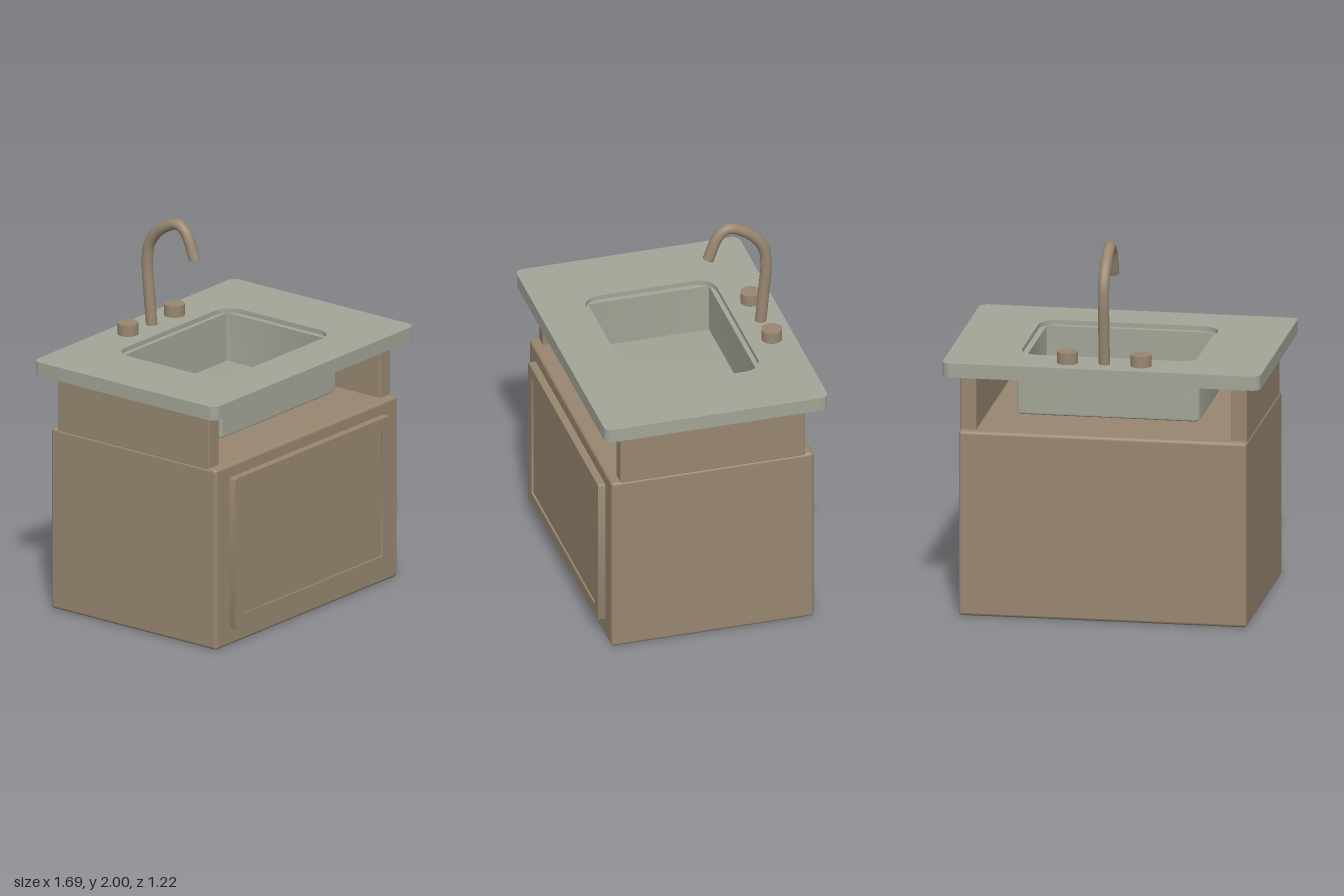
import * as THREE from 'three';
import { toCreasedNormals } from 'three/addons/utils/BufferGeometryUtils.js';
import { RoundedBoxGeometry } from 'three/addons/geometries/RoundedBoxGeometry.js';

// Rounded rectangle outline, half width w, half depth d, corner radius r
function roundRect(w, d, r, Type = THREE.Shape) {
  const s = new Type();
  s.moveTo(-w + r, -d);
  s.lineTo(w - r, -d);
  s.absarc(w - r, -d + r, r, -Math.PI / 2, 0);
  s.lineTo(w, d - r);
  s.absarc(w - r, d - r, r, 0, Math.PI / 2);
  s.lineTo(-w + r, d);
  s.absarc(-w + r, d - r, r, Math.PI / 2, Math.PI);
  s.lineTo(-w, -d + r);
  s.absarc(-w + r, -d + r, r, Math.PI, Math.PI * 1.5);
  return s;
}

// Extrude an outline along z with smooth corners
function extrude(shape, depth, bevel = {}) {
  const g = new THREE.ExtrudeGeometry(shape, { depth, bevelEnabled: false, curveSegments: 10, ...bevel });
  return toCreasedNormals(g, 0.5);
}

// Horizontal slab whose underside starts at height y
const slab = (shape, y, height) => extrude(shape, height).rotateX(-Math.PI / 2).translate(0, y, 0);

export function createModel() {
  const model = new THREE.Group();
  const wood = new THREE.MeshStandardMaterial({ color: 0x988770 });
  wood.name = 'warm brown';
  const stone = new THREE.MeshStandardMaterial({ color: 0xa3a597 });
  stone.name = 'grey green';

  const add = (name, geometry, material, x = 0, y = 0, z = 0) => {
    const mesh = new THREE.Mesh(geometry, material);
    mesh.name = name;
    mesh.position.set(x, y, z);
    model.add(mesh);
    return mesh;
  };

  // Cabinet body
  add('cabinet', new RoundedBoxGeometry(1.53, 1, 1.105, 3, 0.018), wood, 0, 0.5, 0.002);

  // Door: frame with a shallow recessed panel
  const frame = roundRect(0.65, 0.415, 0.01);
  frame.holes.push(roundRect(0.585, 0.348, 0.002, THREE.Path));
  add('doorFrame', extrude(frame, 0.05), wood, 0, 0.515, 0.545);
  add('doorPanel', new THREE.BoxGeometry(1.18, 0.705, 0.035), wood, 0, 0.515, 0.5675);

  // Side supports under the counter
  for (const [side, name] of [[1, 'leftSupport'], [-1, 'rightSupport']]) {
    add(name, new RoundedBoxGeometry(0.084, 0.36, 1.01, 2, 0.008), wood, side * 0.719, 1.17, 0);
  }

  // Counter with basin opening
  const top = roundRect(0.845, 0.61, 0.045);
  top.holes.push(roundRect(0.476, 0.358, 0.1, THREE.Path));
  add('counter', slab(top, 1.304, 0.076), stone);

  // Basin walls and chamfered floor
  const walls = roundRect(0.485, 0.37, 0.015);
  walls.holes.push(roundRect(0.445, 0.33, 0.004, THREE.Path));
  add('basinWalls', slab(walls, 1.07, 0.285), stone, 0, 0, -0.003);
  const floor = extrude(roundRect(0.465, 0.35, 0.015), 0.005,
    { bevelEnabled: true, bevelThickness: 0.015, bevelSize: 0.02, bevelSegments: 3 });
  add('basinFloor', floor.rotateX(-Math.PI / 2), stone, 0, 1.07, -0.003);

  // Tap spout with closed ends
  const path = new THREE.CatmullRomCurve3([
    [1.37, -0.483], [1.55, -0.5], [1.72, -0.513], [1.82, -0.5], [1.9, -0.445],
    [1.952, -0.37], [1.97, -0.305], [1.935, -0.255], [1.8, -0.196],
  ].map(([y, z]) => new THREE.Vector3(0, y, z)));
  add('spout', new THREE.TubeGeometry(path, 64, 0.03, 16), wood);
  const tip = add('spoutEnd', new THREE.CircleGeometry(0.03, 16), wood);
  tip.position.copy(path.getPoint(1));
  tip.lookAt(path.getPoint(1).add(path.getTangent(1)));

  // Tap knobs
  for (const [side, name] of [[1, 'leftKnob'], [-1, 'rightKnob']]) {
    add(name, new THREE.CylinderGeometry(0.055, 0.055, 0.07, 32), wood, side * 0.195, 1.407, -0.487);
  }

  return model;
}
